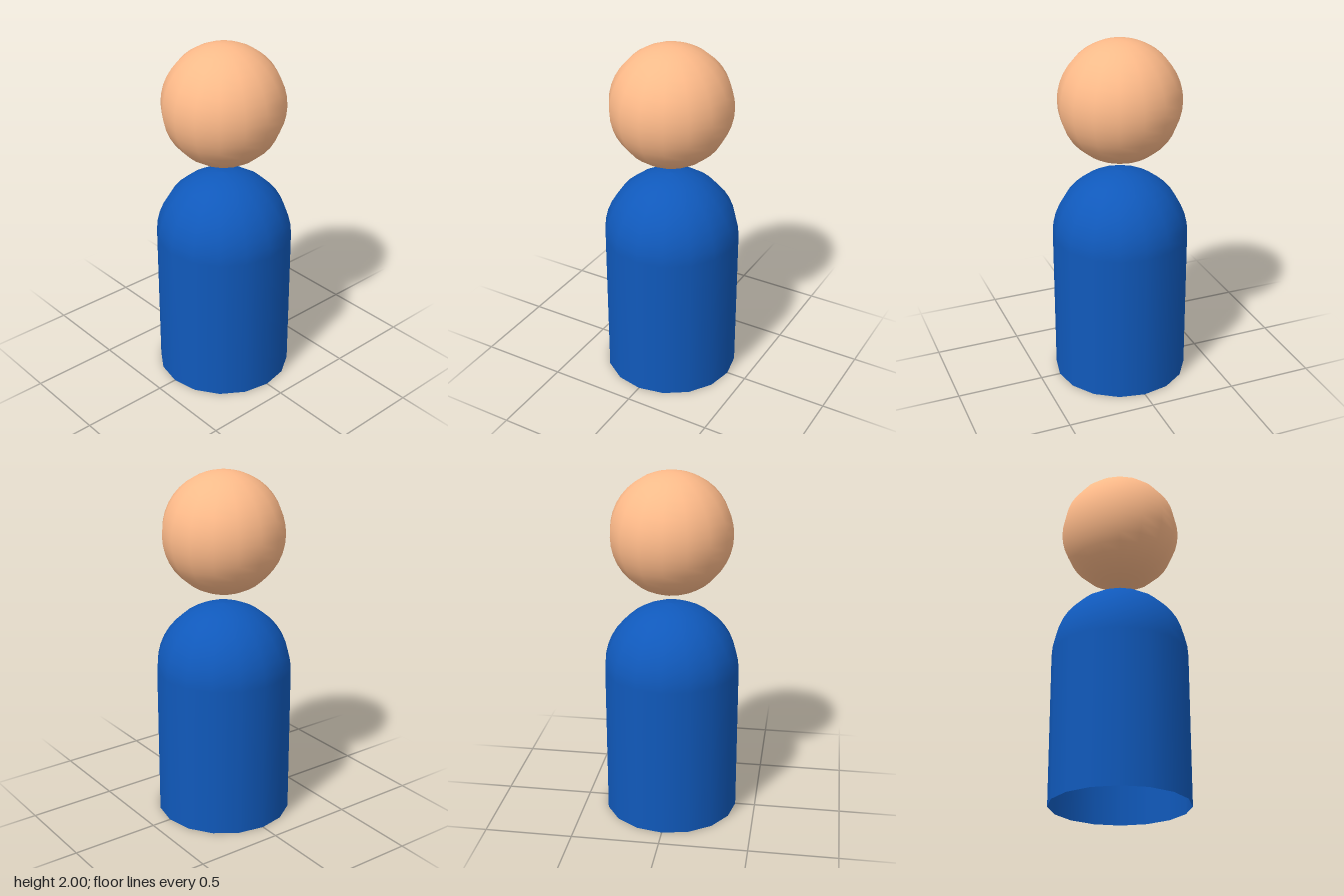
import * as THREE from 'three';

const SIDES = 16;

export function createModel() {
  const model = new THREE.Group();
  model.name = 'pegFigure';

  // Body: straight open tube closed by a hemispherical dome
  const radius = 0.385, shoulder = 0.868, steps = 10;
  const profile = [new THREE.Vector2(radius, 0)];
  for (let i = 0; i <= steps; i++) {
    const a = (i / steps) * Math.PI / 2;
    const r = i === steps ? 0 : radius * Math.cos(a);
    profile.push(new THREE.Vector2(r, shoulder + radius * Math.sin(a)));
  }
  const body = new THREE.Mesh(
    new THREE.LatheGeometry(profile, SIDES),
    new THREE.MeshStandardMaterial({ color: 0x1059bb, side: THREE.DoubleSide })
  );
  body.name = 'body';

  // Head: ball floating just above the dome
  const head = new THREE.Mesh(
    new THREE.SphereGeometry(0.342, SIDES, 20),
    new THREE.MeshStandardMaterial({ color: 0xffbb8a })
  );
  head.name = 'head';
  head.position.y = 1.658;

  model.add(body, head);
  return model;
}
